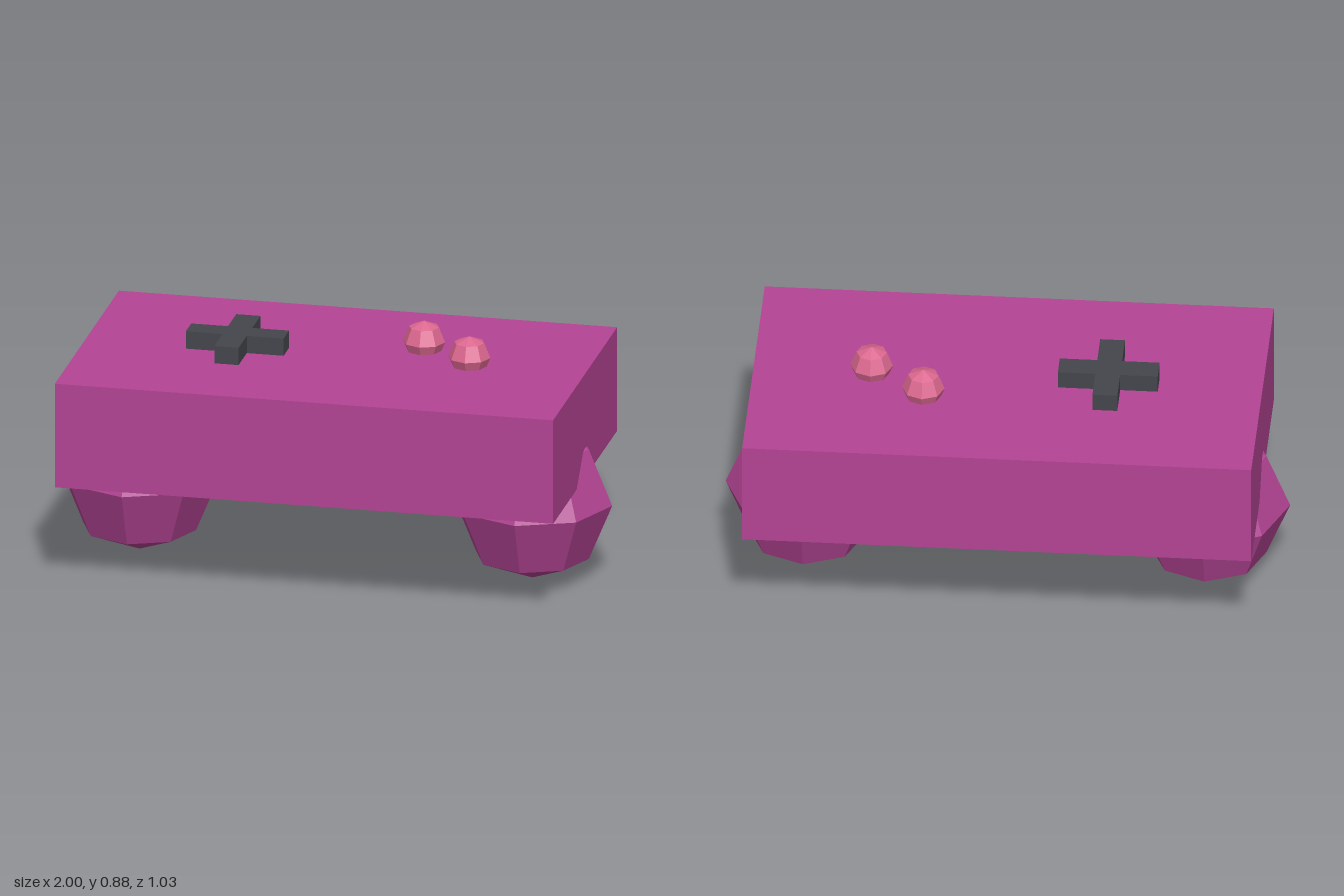
import * as THREE from 'three';

const material = (name, color) => {
  const m = new THREE.MeshStandardMaterial({ color, flatShading: true });
  m.name = name;
  return m;
};

export function createModel() {
  const model = new THREE.Group();
  model.name = 'gamepad';
  const magenta = material('magenta', 0xb44494);
  const pink = material('pink', 0xdb678f);
  const charcoal = material('charcoal', 0x45464c);

  const add = (name, geometry, mat, x, y, z) => {
    const mesh = new THREE.Mesh(geometry, mat);
    mesh.name = name;
    mesh.position.set(x, y, z);
    model.add(mesh);
    return mesh;
  };

  // Slab body
  add('body', new THREE.BoxGeometry(1.804, 0.387, 1.032), magenta, 0, 0.582, 0);

  // Faceted grips under both ends
  const grip = new THREE.SphereGeometry(0.289, 8, 4);
  add('leftGrip', grip, magenta, 0.711, 0.289, 0);
  add('rightGrip', grip, magenta, -0.711, 0.289, 0);

  // Round buttons, half sunk into the top
  const button = new THREE.SphereGeometry(0.076, 8, 4);
  add('frontButton', button, pink, 0.483, 0.808, 0);
  add('backButton', button, pink, 0.29, 0.808, -0.13);

  // Cross-shaped direction pad
  const a = 0.177, b = 0.044;
  const outline = [[b, a], [-b, a], [-b, b], [-a, b], [-a, -b], [-b, -b],
    [-b, -a], [b, -a], [b, -b], [a, -b], [a, b], [b, b]];
  const cross = new THREE.Shape(outline.map(([x, y]) => new THREE.Vector2(x, y)));
  const pad = new THREE.ExtrudeGeometry(cross, { depth: 0.085, bevelEnabled: false });
  add('directionPad', pad, charcoal, -0.357, 0.755, 0).rotation.x = -Math.PI / 2;

  return model;
}
